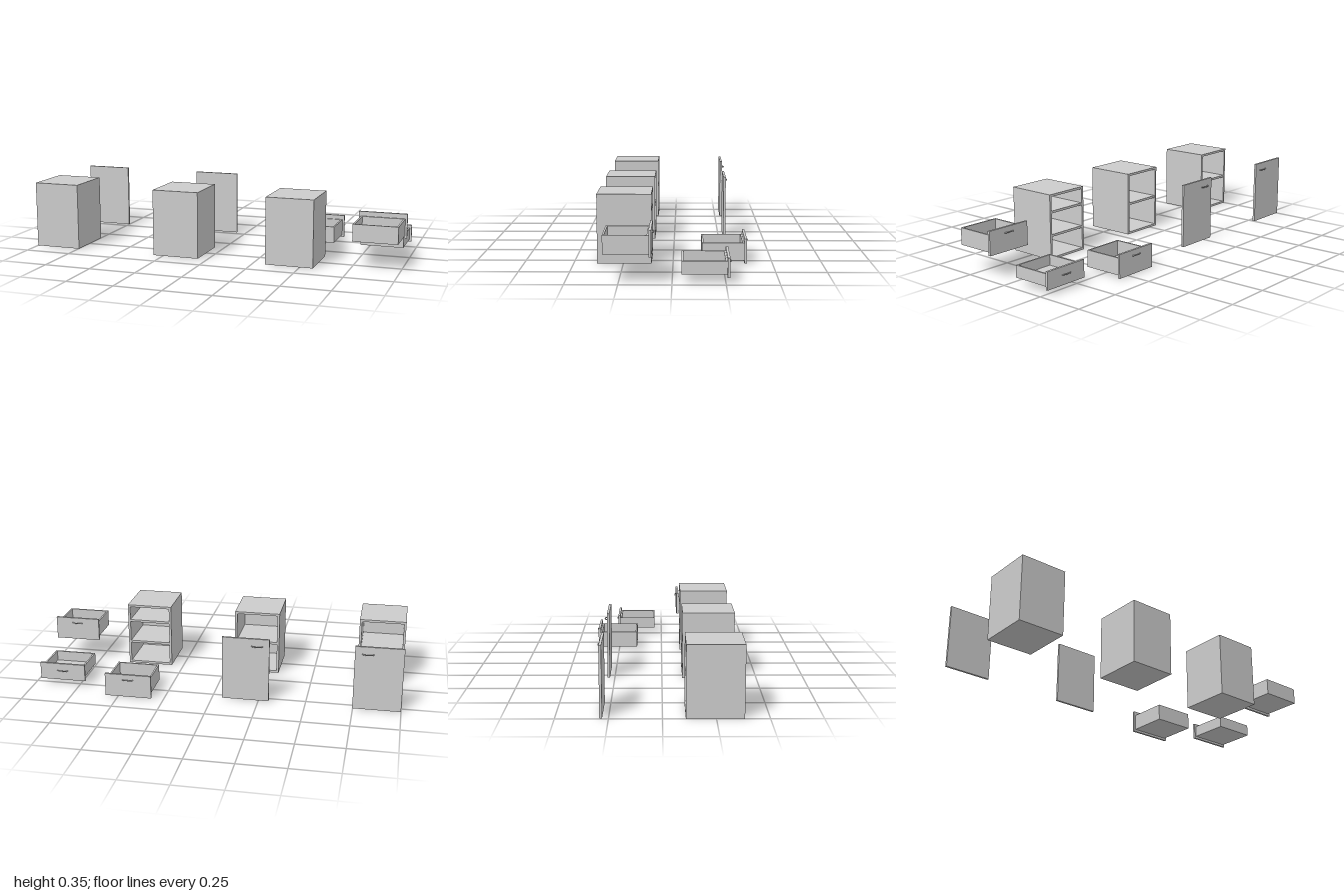
import * as THREE from 'three';

const material = new THREE.MeshStandardMaterial({ color: 0xcccccc });
const W = 0.252, T = 0.0125; // shared unit width and board thickness

// Board spanning the given min/max corners
function board(group, name, x0, x1, y0, y1, z0, z1) {
  const mesh = new THREE.Mesh(new THREE.BoxGeometry(x1 - x0, y1 - y0, z1 - z0), material);
  mesh.position.set((x0 + x1) / 2, (y0 + y1) / 2, (z0 + z1) / 2);
  mesh.name = name;
  group.add(mesh);
}

// Bow handle standing out towards -z from a face at z
function addHandle(group, x, y, z, reach) {
  const r = 0.003, d = reach - r;
  const points = [[-0.029, 0], [-0.024, 0.6], [-0.014, 0.93], [0, 1], [0.014, 0.93], [0.024, 0.6], [0.029, 0]]
    .map(([px, k]) => new THREE.Vector3(px, 0, -k * d));
  const curve = new THREE.CatmullRomCurve3(points);
  const mesh = new THREE.Mesh(new THREE.TubeGeometry(curve, 24, r, 8), material);
  mesh.position.set(x, y, z);
  mesh.name = 'handle';
  group.add(mesh);
}

// Open carcass facing -z, with shelves centred at the given heights
function cabinet(name, x, shelves) {
  const g = new THREE.Group();
  g.name = name;
  const h = W / 2, y0 = 0, y1 = 0.353, z0 = 0.108, z1 = 0.382;
  board(g, 'rightSide', -h, -h + T, y0, y1, z0, z1);
  board(g, 'leftSide', h - T, h, y0, y1, z0, z1);
  board(g, 'bottom', -h + T, h - T, y0, y0 + T, z0, z1);
  board(g, 'top', -h + T, h - T, y1 - T, y1, z0, z1);
  board(g, 'backPanel', -h + T, h - T, y0 + T, y1 - T, z1 - T, z1);
  for (const y of shelves) board(g, 'shelf', -h + T, h - T, y - T / 2, y + T / 2, z0 + 0.002, z1 - T);
  g.position.x = x;
  return g;
}

// Detached door panel, outer face at z
function door(x, z, handleX) {
  const g = new THREE.Group();
  g.name = 'door';
  board(g, 'doorPanel', -W / 2, W / 2, 0.002, 0.35, z, z + T);
  addHandle(g, handleX, 0.31, z, 0.015);
  g.position.x = x;
  return g;
}

// Open-topped drawer: y is the bottom of its front, z the outer face of its front
function drawer(x, y, z, frontHeight, boxHeight, handleY) {
  const g = new THREE.Group();
  g.name = 'drawer';
  const h = 0.1155, w = 0.009, y0 = 0.0125, y1 = y0 + boxHeight, z0 = T, z1 = T + 0.214;
  board(g, 'drawerFront', -W / 2, W / 2, 0, frontHeight, 0, T);
  board(g, 'drawerSide', -h, -h + w, y0, y1, z0, z1);
  board(g, 'drawerSide', h - w, h, y0, y1, z0, z1);
  board(g, 'drawerInnerFront', -h + w, h - w, y0, y1, z0, z0 + w);
  board(g, 'drawerBack', -h + w, h - w, y0, y1, z1 - w, z1);
  board(g, 'drawerBottom', -h + w, h - w, y0, y0 + w, z0 + w, z1 - w);
  addHandle(g, 0, handleY, 0, 0.011);
  g.position.set(x, y, z);
  return g;
}

export function createModel() {
  const model = new THREE.Group();
  model.name = 'cabinetSet';
  model.add(
    cabinet('shelfCabinet', -0.874, [0.177]),
    cabinet('shelfCabinet', -0.179, [0.177]),
    cabinet('drawerCabinet', 0.443, [0.13, 0.257]),
    door(-0.874, -0.292, 0.059),
    door(-0.179, -0.288, -0.061),
    drawer(0.871, 0.128, 0.095, 0.127, 0.09, 0.098),
    drawer(0.843, 0.027, -0.27, 0.093, 0.064, 0.053),
    drawer(0.443, 0.002, -0.371, 0.126, 0.09, 0.097)
  );
  return model;
}
